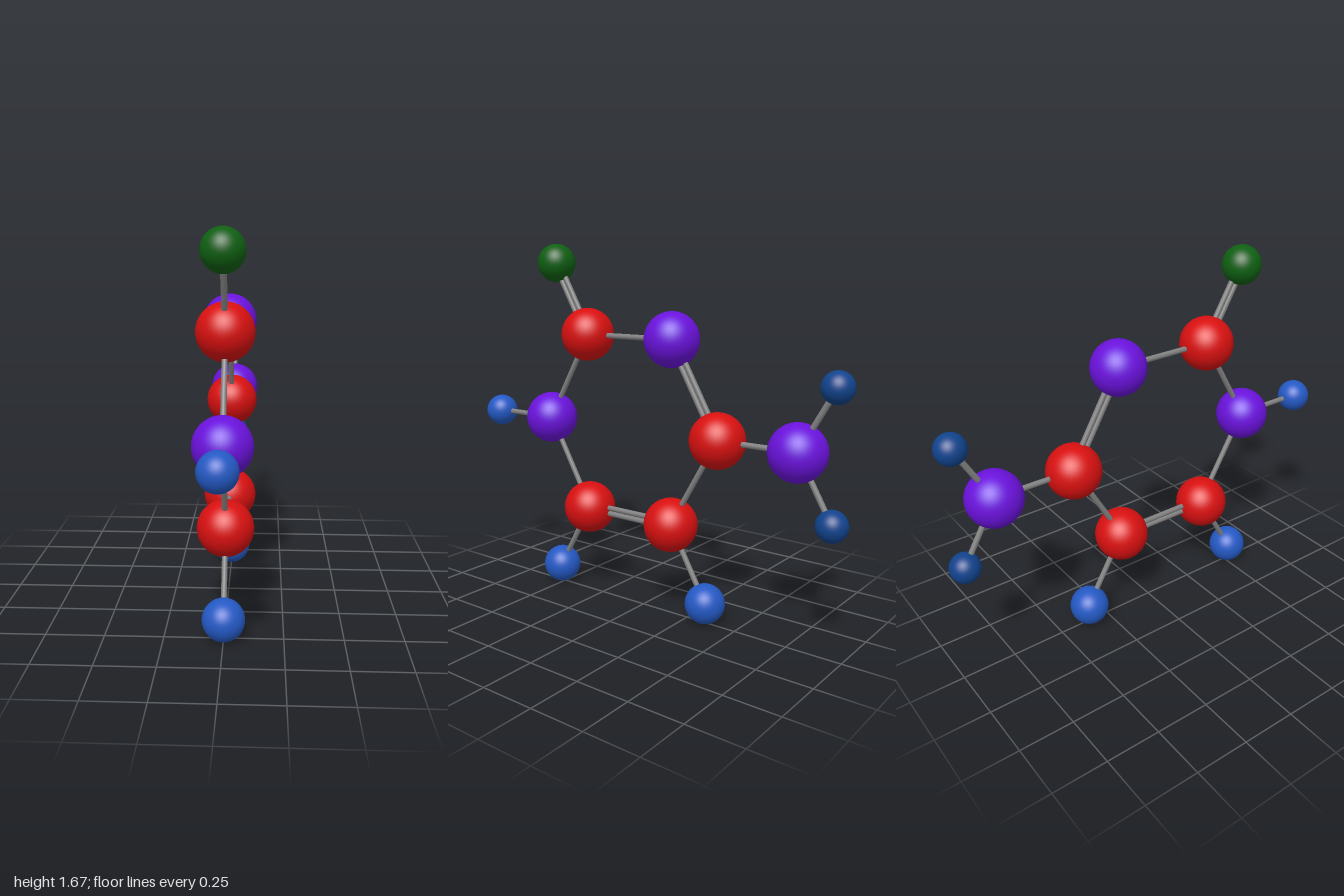
import * as THREE from 'three';

const makeMaterial = (name, color) => {
  const m = new THREE.MeshStandardMaterial({ color });
  m.name = name;
  return m;
};

export function createModel() {
  const model = new THREE.Group();
  model.name = 'molecule';

  const red = makeMaterial('red', 0xd81010);
  const purple = makeMaterial('purple', 0x6a12dc);
  const green = makeMaterial('green', 0x0f5f12);
  const blue = makeMaterial('blue', 0x2459c4);
  const navy = makeMaterial('navy', 0x11438c);
  const grey = makeMaterial('grey', 0x808080);

  // Atoms: y, z, radius, material (the molecule is flat in the x = 0 plane)
  const atoms = {
    topCarbon: [1.259, 0.327, 0.123, red],
    topNitrogen: [1.259, -0.155, 0.123, purple],
    backCarbon: [0.841, -0.396, 0.123, red],
    lowerBackCarbon: [0.423, -0.155, 0.123, red],
    lowerFrontCarbon: [0.423, 0.327, 0.123, red],
    frontNitrogen: [0.841, 0.568, 0.123, purple],
    oxygen: [1.587, 0.517, 0.089, green],
    frontHydrogen: [0.841, 0.923, 0.077, blue],
    lowerFrontHydrogen: [0.092, 0.517, 0.09, blue],
    lowerBackHydrogen: [0.092, -0.345, 0.09, blue],
    amineNitrogen: [0.841, -0.774, 0.123, purple],
    upperAmineHydrogen: [1.117, -0.933, 0.067, navy],
    lowerAmineHydrogen: [0.565, -0.933, 0.067, navy],
  };
  for (const [name, [y, z, radius, material]] of Object.entries(atoms)) {
    const atom = new THREE.Mesh(new THREE.SphereGeometry(radius, 40, 28), material);
    atom.name = name;
    atom.position.set(0, y, z);
    model.add(atom);
  }

  // Bonds: first atom, second atom, number of rods side by side
  const bonds = [
    ['topCarbon', 'topNitrogen', 1],
    ['topNitrogen', 'backCarbon', 2],
    ['backCarbon', 'lowerBackCarbon', 1],
    ['lowerBackCarbon', 'lowerFrontCarbon', 2],
    ['lowerFrontCarbon', 'frontNitrogen', 1],
    ['frontNitrogen', 'topCarbon', 1],
    ['topCarbon', 'oxygen', 2],
    ['frontNitrogen', 'frontHydrogen', 1],
    ['lowerFrontCarbon', 'lowerFrontHydrogen', 1],
    ['lowerBackCarbon', 'lowerBackHydrogen', 1],
    ['backCarbon', 'amineNitrogen', 1],
    ['amineNitrogen', 'upperAmineHydrogen', 1],
    ['amineNitrogen', 'lowerAmineHydrogen', 1],
  ];
  const up = new THREE.Vector3(0, 1, 0);
  for (const [from, to, count] of bonds) {
    const a = new THREE.Vector3(0, atoms[from][0], atoms[from][1]);
    const b = new THREE.Vector3(0, atoms[to][0], atoms[to][1]);
    const along = b.clone().sub(a);
    const length = along.length();
    along.normalize();
    const bond = new THREE.Group();
    bond.name = count === 2 ? 'doubleBond' : 'singleBond';
    bond.position.copy(a).add(b).multiplyScalar(0.5);
    bond.quaternion.setFromUnitVectors(up, along);
    for (let i = 0; i < count; i++) {
      const rod = new THREE.Mesh(new THREE.CylinderGeometry(0.0125, 0.0125, length, 16), grey);
      rod.name = 'bondRod';
      rod.position.z = (i - (count - 1) / 2) * 0.027;
      bond.add(rod);
    }
    model.add(bond);
  }
  return model;
}
